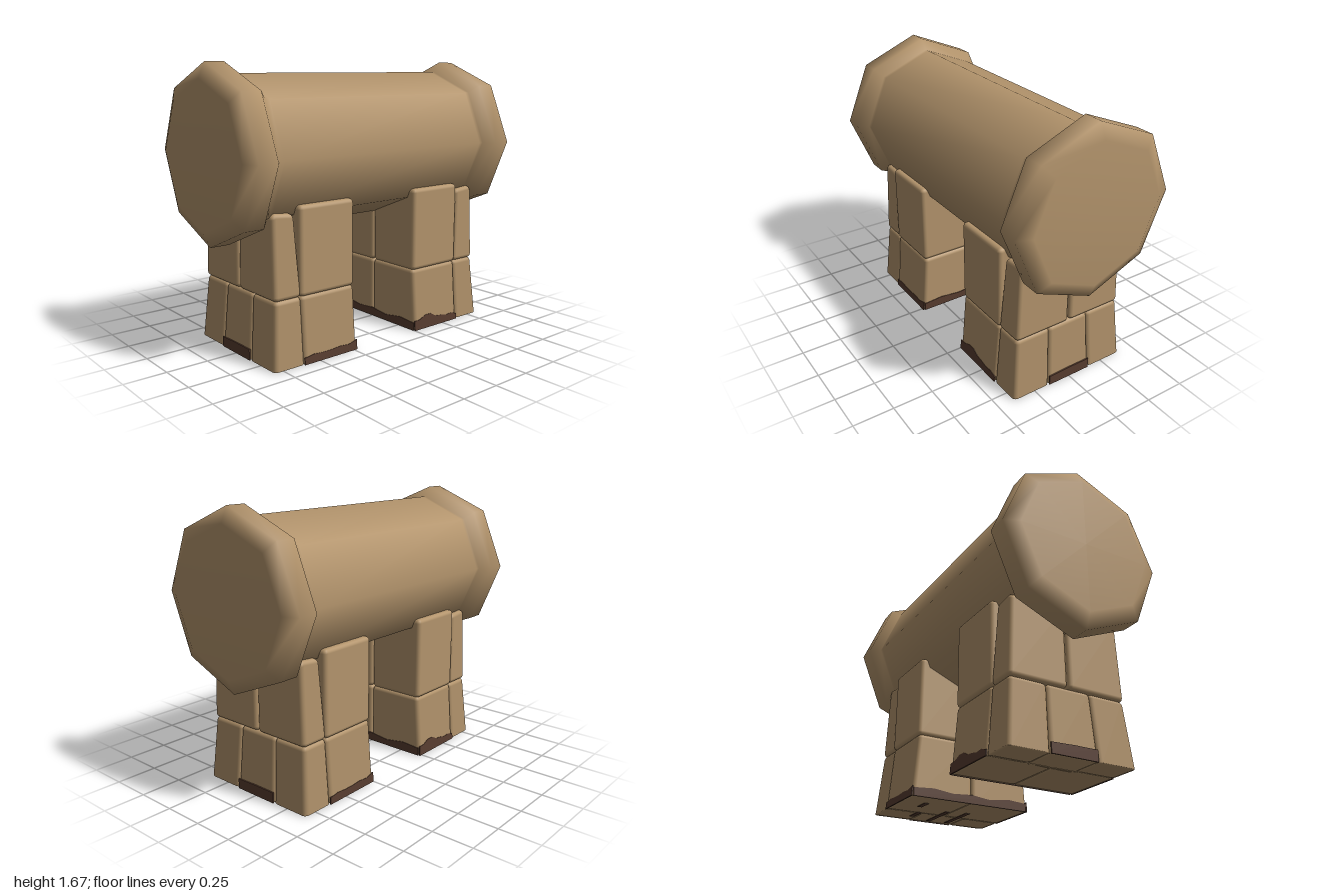
import * as THREE from 'three';
import { RoundedBoxGeometry } from 'three/addons/geometries/RoundedBoxGeometry.js';

const sandstone = new THREE.MeshStandardMaterial({ color: 0xb3946c });
sandstone.name = 'sandstone';
const dirt = new THREE.MeshStandardMaterial({ color: 0x573c2f });
dirt.name = 'dirt';

const LAYER = 0.385; // height of the joint between the two courses

function add(parent, name, geometry, material) {
  const mesh = new THREE.Mesh(geometry, material);
  mesh.name = name;
  parent.add(mesh);
  return mesh;
}

// Eight-sided smooth pipe with a flared collar at both ends
function pipeGeometry() {
  const half = [[0, 1], [0.42, 1], [0.51, 0.96], [0.51, 0.84], [0.447, 0.79], [0.447, 0.76]];
  const points = [
    ...half.map(([r, x]) => new THREE.Vector2(r, -x)),
    ...half.slice().reverse().map(([r, x]) => new THREE.Vector2(r, x)),
  ];
  return new THREE.LatheGeometry(points, 8).rotateZ(Math.PI / 2);
}

// Rounded stone between two corners; reshape moves each vertex afterwards
function stone(parent, name, [x0, x1], [y0, y1], [z0, z1], reshape) {
  const g = new RoundedBoxGeometry(x1 - x0, y1 - y0, z1 - z0, 2, 0.025);
  g.translate((x0 + x1) / 2, (y0 + y1) / 2, (z0 + z1) / 2);
  const p = g.attributes.position;
  const v = new THREE.Vector3();
  for (let i = 0; i < p.count; i++) {
    reshape(v.fromBufferAttribute(p, i));
    p.setXYZ(i, v.x, v.y, v.z);
  }
  return add(parent, name, g, sandstone);
}

// Lower course: flat on the ground, spreading outward toward the base
function spread(v) {
  v.y = Math.max(v.y, 0.003);
  const k = 1 - v.y / LAYER;
  v.z *= 1 + 0.085 * k;
  v.x += Math.max(0, (v.x - 0.61) / 0.18) * 0.03 * k;
}

// Upper outer stones: leaning in and sloping down at the shoulders
function lean(v) {
  const k = Math.max(0, (v.y - LAYER) / 0.485);
  v.x += (v.x < 0.7 ? 0.03 : -0.005) * k;
  v.z *= 1 - 0.05 * k;
  if (v.y > 0.8) v.y -= Math.abs(v.x - 0.73) * 0.35;
}

// Thin dirt stain with a ragged upper edge, running along x from the origin
function stainGeometry(width, heights) {
  const s = new THREE.Shape();
  s.moveTo(0, 0);
  s.lineTo(width, 0);
  for (let i = heights.length - 1; i >= 0; i--) s.lineTo(width * i / (heights.length - 1), heights[i]);
  return new THREE.ExtrudeGeometry(s, { depth: 0.008, bevelEnabled: false });
}

function support(name) {
  const g = new THREE.Group();
  g.name = name;
  for (const side of [1, -1]) {
    const z = (a, b) => (side > 0 ? [a, b] : [-b, -a]);
    const end = side > 0 ? 'Front' : 'Back';
    stone(g, 'lowerWideStone' + end, [0.24, 0.62], [-0.03, LAYER + 0.005], z(0, 0.37), spread);
    stone(g, 'lowerCornerStone' + end, [0.615, 0.79], [-0.03, LAYER + 0.003], z(0.135, 0.367), spread);
    stone(g, 'upperWideStone' + end, [0.24, 0.625], [LAYER, 0.9], z(0.002, 0.375), () => {});
    stone(g, 'upperOuterStone' + end, [0.615, 0.795], [LAYER, 0.88], z(0.004, 0.37), lean);
  }
  stone(g, 'lowerMiddleStone', [0.6, 0.79], [-0.03, LAYER + 0.003], [-0.14, 0.14], spread);

  // Dirt along the foot of each face
  const front = add(g, 'frontStain',
    stainGeometry(0.38, [0.06, 0.065, 0.085, 0.085, 0.06, 0.055, 0.045, 0.05, 0.035]), dirt);
  front.position.set(0.24, 0, 0.396);
  front.rotation.x = -0.08;
  const back = add(g, 'backStain', stainGeometry(0.38, [0.04, 0.05, 0.045, 0.045, 0.05, 0.045, 0.06]), dirt);
  back.position.set(0.62, 0, -0.396);
  back.rotation.set(0.08, Math.PI, 0);
  const outer = add(g, 'outerStain', stainGeometry(0.29, [0.06, 0.065, 0.065]), dirt);
  outer.position.set(0.815, 0, 0.145);
  outer.rotation.set(0, Math.PI / 2, 0.0);
  const inner = add(g, 'innerStain', stainGeometry(0.78, [0.05, 0.06, 0.045, 0.055, 0.04, 0.06, 0.05]), dirt);
  inner.position.set(0.244, 0, -0.39);
  inner.rotation.y = -Math.PI / 2;
  g.position.x = 0.01;
  return g;
}

export function createModel() {
  const model = new THREE.Group();
  model.name = 'pipeOnStoneSupports';
  add(model, 'pipe', pipeGeometry(), sandstone).position.y = 1.16;

  const left = support('leftSupport');
  const right = support('rightSupport');
  right.rotation.y = Math.PI;
  model.add(left, right);

  // Dirt streaks under the left support
  for (const [x, z, length] of [[0.62, 0.1, 0.3], [0.64, -0.03, 0.28], [0.66, -0.18, 0.12], [0.42, -0.24, 0.1]]) {
    add(left, 'undersideStreak', new THREE.BoxGeometry(length, 0.004, 0.03), dirt).position.set(x, 0.002, z);
  }
  return model;
}
